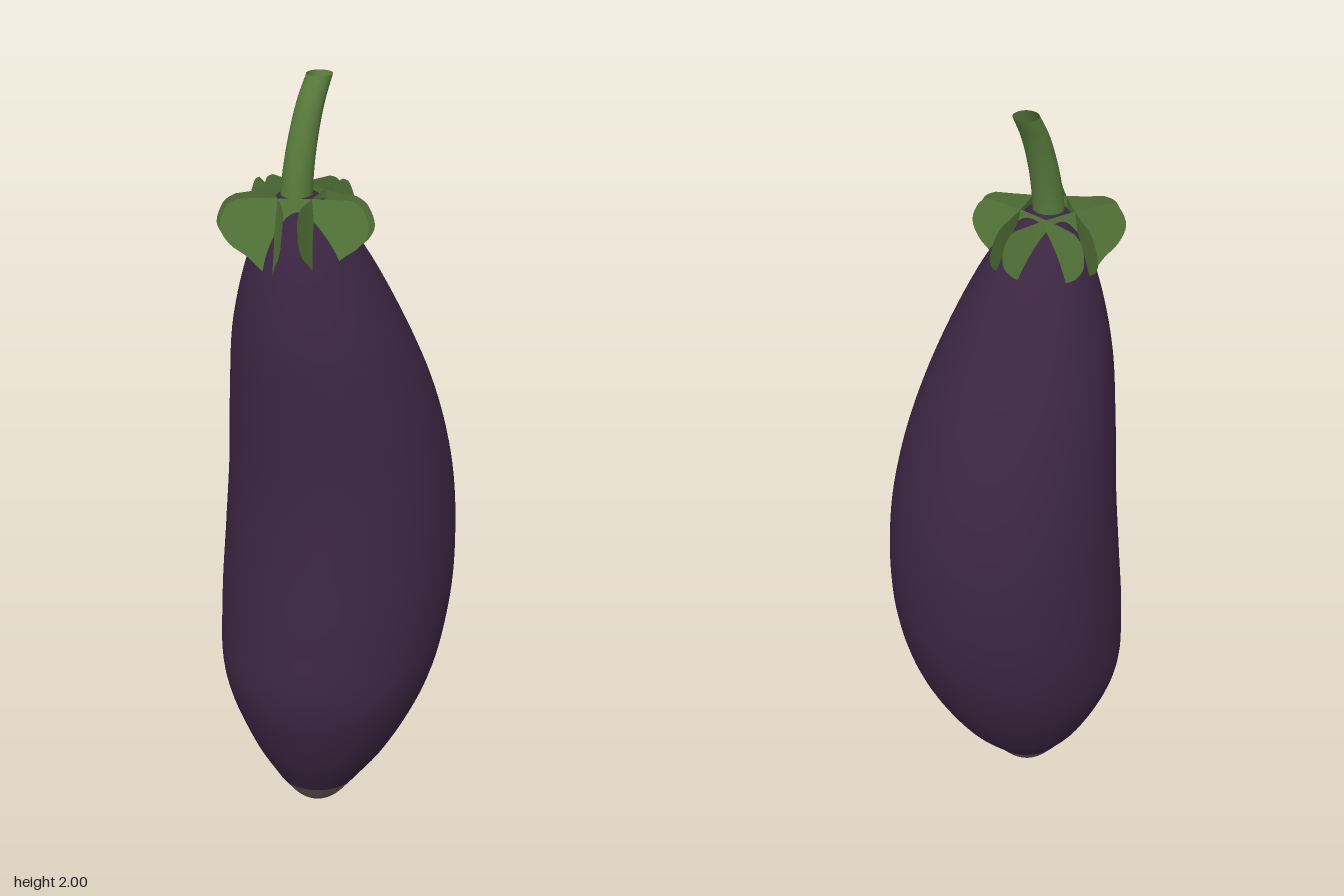
import * as THREE from 'three';
import { mergeVertices } from 'three/addons/utils/BufferGeometryUtils.js';

const purple = new THREE.MeshStandardMaterial({ color: 0x3c2643 });
const brown = new THREE.MeshStandardMaterial({ color: 0x6b5a58 });
const green = new THREE.MeshStandardMaterial({ color: 0x587a3c, side: THREE.DoubleSide });

// Round skin through rings given as [centre x, height, radius]
function loft(rings, steps, sides) {
  const curve = new THREE.CatmullRomCurve3(rings.map(r => new THREE.Vector3(...r)));
  const pts = curve.getPoints(steps);
  const geo = new THREE.LatheGeometry(pts.map(p => new THREE.Vector2(Math.max(p.z, 0), p.y)), sides);
  const pos = geo.attributes.position;
  for (let i = 0; i < pos.count; i++) pos.setX(i, pos.getX(i) + pts[i % pts.length].x);
  geo.deleteAttribute('uv');
  geo.deleteAttribute('normal');
  const smooth = mergeVertices(geo, 1e-5);
  smooth.computeVertexNormals();
  return smooth;
}

// Upright sepal: a broad rounded plate, bowed outward and pointed at the bottom
function sepalGeometry() {
  const rows = 24;
  const outline = new THREE.SplineCurve([
    [0.13, 1.737], [0.158, 1.72], [0.173, 1.672], [0.15, 1.63], [0.11, 1.6], [0.06, 1.55], [0, 1.5],
  ].map(p => new THREE.Vector2(...p))).getPoints(rows);
  const geo = new THREE.PlaneGeometry(2, 1, 16, rows);
  const pos = geo.attributes.position;
  for (let i = 0; i < pos.count; i++) {
    const edge = outline[Math.floor(i / 17)];
    const s = pos.getX(i) * edge.x;
    pos.setXYZ(i, s, edge.y, 0.054 + 0.5 * s * s + 0.12 * (1.737 - edge.y));
  }
  geo.computeVertexNormals();
  return geo;
}

export function createModel() {
  const group = new THREE.Group();
  const add = (name, geo, mat) => {
    const mesh = new THREE.Mesh(geo, mat);
    mesh.name = name;
    group.add(mesh);
    return mesh;
  };

  // Fruit
  add('fruitBody', loft([
    [-0.08, 0.085, 0.108], [-0.063, 0.2, 0.186], [-0.04, 0.4, 0.273], [-0.005, 0.6, 0.299],
    [0.014, 0.8, 0.298], [0.012, 1.0, 0.283], [-0.02, 1.2, 0.255], [-0.07, 1.4, 0.208],
    [-0.113, 1.6, 0.132], [-0.134, 1.7, 0.07], [-0.142, 1.73, 0.045], [-0.146, 1.74, 0],
  ], 72, 64), purple);

  // Pale blossom end
  add('blossomEnd', loft([
    [-0.083, 0, 0], [-0.083, 0.006, 0.03], [-0.082, 0.025, 0.06], [-0.08, 0.085, 0.108],
  ], 16, 64), brown);

  // Curved, tapering open-ended stem
  add('stem', loft([
    [-0.15, 1.7, 0.039], [-0.141, 1.78, 0.037], [-0.123, 1.86, 0.035],
    [-0.095, 1.94, 0.033], [-0.063, 2, 0.031],
  ], 24, 32), green);

  // Five sepals around the stem
  const sepal = sepalGeometry();
  for (let i = 0; i < 5; i++) {
    const mesh = add('sepal' + (i + 1), sepal, green);
    mesh.position.x = -0.146;
    mesh.rotation.y = Math.PI / 2 + (i * Math.PI * 2) / 5;
  }
  return group;
}
